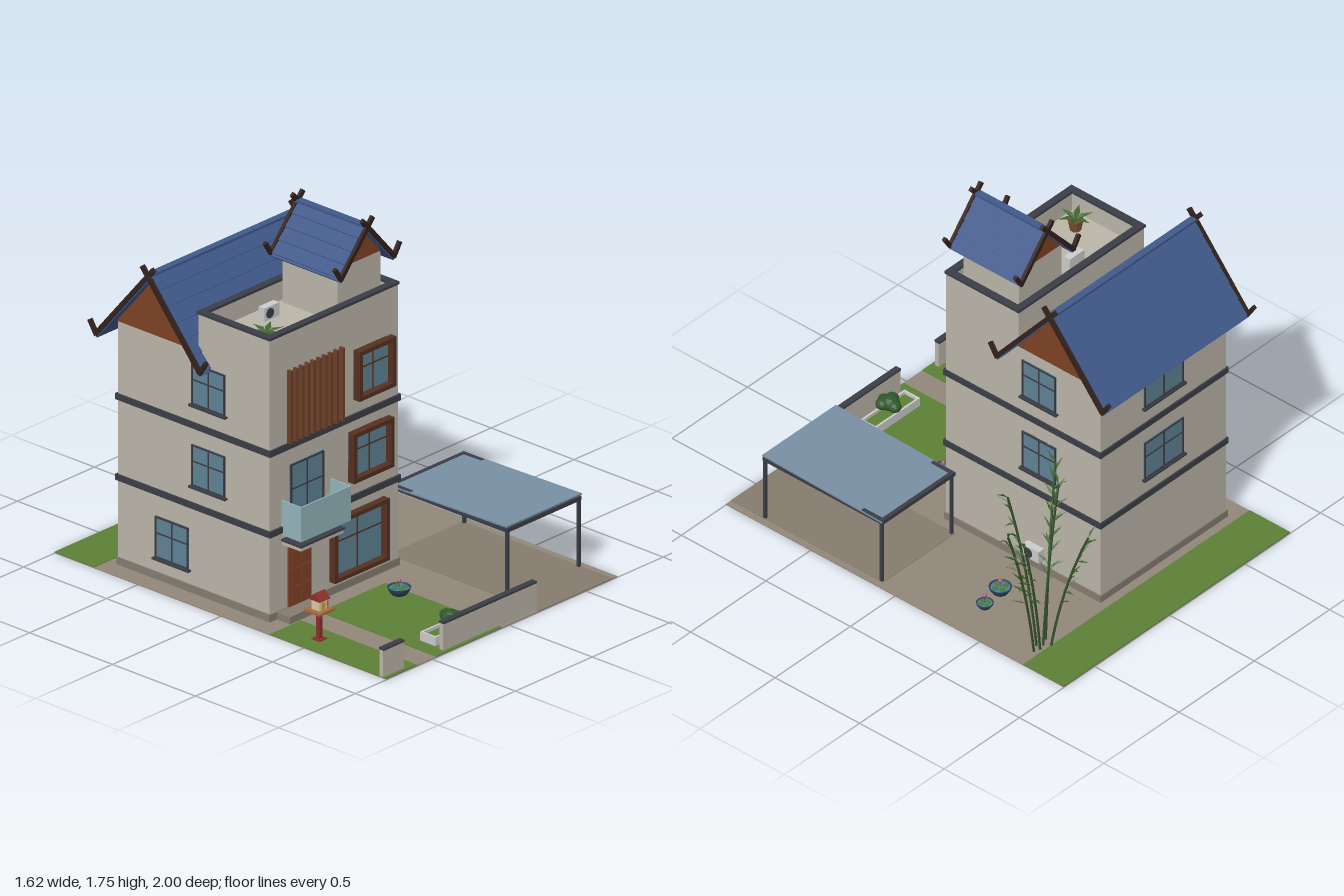
import * as THREE from 'three';

const C = { wall: 0xbab5a8, plinth: 0x857c70, dark: 0x3b3e46, wood: 0x55301f, brick: 0x7d4124, board: 0x33211b,
  glass: 0x5f8296, pale: 0x93b3ba, roof: 0x40598a, grass: 0x5d8036, paving: 0x91877a, red: 0x8c2f2a, leaf: 0x3d6630 };
const mats = {};
const mat = (color) => (mats[color] ??= new THREE.MeshStandardMaterial({ color, flatShading: true, side: THREE.DoubleSide }));

function add(parent, name, geo, color, x = 0, y = 0, z = 0) {
  const m = new THREE.Mesh(geo, mat(color));
  m.name = name;
  m.position.set(x, y, z);
  parent.add(m);
  return m;
}
// box given by its limits on each axis
function box(parent, name, x0, x1, y0, y1, z0, z1, color) {
  return add(parent, name, new THREE.BoxGeometry(x1 - x0, y1 - y0, z1 - z0), color, (x0 + x1) / 2, (y0 + y1) / 2, (z0 + z1) / 2);
}
function group(parent, name, x = 0, y = 0, z = 0, ry = 0) {
  const g = new THREE.Group();
  g.name = name;
  g.position.set(x, y, z);
  g.rotation.y = ry;
  parent.add(g);
  return g;
}
// bar between two points in the xy plane
function bar(parent, name, x0, y0, x1, y1, z, thick, depth, color) {
  const m = add(parent, name, new THREE.BoxGeometry(Math.hypot(x1 - x0, y1 - y0), thick, depth), color, (x0 + x1) / 2, (y0 + y1) / 2, z);
  m.rotation.z = Math.atan2(y1 - y0, x1 - x0);
}
function extrude(points, depth) {
  const g = new THREE.ExtrudeGeometry(new THREE.Shape(points.map((p) => new THREE.Vector2(...p))), { depth, bevelEnabled: false });
  return g.translate(0, 0, -depth / 2);
}

// window centred on its own origin, facing +z
function windowUnit(parent, name, x, y, z, ry, w, h, t, depth, color, sill) {
  const g = group(parent, name, x, y, z, ry), W = w / 2, H = h / 2;
  box(g, 'pane', -W, W, -H, H, -0.01, 0.004, C.glass);
  for (const s of [-1, 1]) {
    add(g, 'jamb', new THREE.BoxGeometry(t, h, depth), color, s * (W - t / 2), 0, depth / 2);
    add(g, 'rail', new THREE.BoxGeometry(w, t, depth), color, 0, s * (H - t / 2), depth / 2);
  }
  box(g, 'mullion', -0.003, 0.003, -H, H, 0, 0.008, color);
  box(g, 'transom', -W, W, h * 0.1 - 0.003, h * 0.1 + 0.003, 0, 0.008, color);
  if (sill) box(g, 'sill', -W - 0.01, W + 0.01, -H - 0.01, -H, 0, 0.018, C.dark);
}

// gabled roof with its ridge along local z and the apex at the origin
function gableRoof(parent, name, x, y, z, ry, run, rise, length, rows, gableHalf, gableInset) {
  const g = group(parent, name, x, y, z, ry), k = rise / run, L = length / 2;
  for (const s of [-1, 1]) {
    bar(g, 'roofSlope', 0, -0.012, s * run, -rise - 0.012, 0, 0.016, length, C.roof);
    for (let i = 0; i < rows; i++) { // overlapping tile courses
      const a = (run * i) / rows, b = (run * (i + 1)) / rows;
      bar(g, 'tileCourse', s * a, -a * k - 0.004, s * b, -b * k + 0.004, 0, 0.008, length, C.roof);
    }
    for (const e of [-1, 1]) {
      bar(g, 'bargeBoard', -s * 0.035, 0.035 * k, s * run, -rise, e * L, 0.022, 0.016, C.board);
      bar(g, 'eaveFinial', s * (run - 0.006), -rise - 0.004, s * (run + 0.036), -rise + 0.062, e * L, 0.018, 0.018, C.board);
    }
  }
  add(g, 'ridgeCap', new THREE.BoxGeometry(0.035, 0.012, length), C.roof, 0, 0.004, 0);
  for (const e of [-1, 1]) {
    add(g, 'gablePanel', extrude([[-gableHalf, -gableHalf * k - 0.02], [gableHalf, -gableHalf * k - 0.02], [0, -0.02]], 0.02), C.brick, 0, 0, e * (L - gableInset));
  }
}

// folded leaf, base at the origin, pointing along +z
function leafGeometry(len, wid) {
  const g = new THREE.BufferGeometry();
  g.setAttribute('position', new THREE.Float32BufferAttribute([0, 0, 0, wid, 0.004, len * 0.4, 0, -0.004, len * 0.5, -wid, 0.004, len * 0.4, 0, -0.01, len], 3));
  g.setIndex([0, 2, 1, 0, 3, 2, 1, 2, 4, 3, 4, 2]);
  g.computeVertexNormals();
  return g;
}

function lotusBowl(parent, x, z, r) {
  const g = group(parent, 'lotusBowl', x, 0.005, z);
  const pts = [[0, 0], [0.6, 0], [0.9, 0.4], [1, 0.68], [0.9, 0.68], [0.8, 0.5], [0, 0.5]].map(([a, b]) => new THREE.Vector2(a * r, b * r));
  add(g, 'bowl', new THREE.LatheGeometry(pts, 16), 0x2f4460);
  add(g, 'water', new THREE.CylinderGeometry(r * 0.85, r * 0.85, 0.002, 16), 0x4c7f92, 0, r * 0.56, 0);
  for (let i = 0; i < 4; i++) {
    const a = i * 1.57 + 0.4;
    add(g, 'lilyPad', new THREE.CylinderGeometry(r * 0.27, r * 0.27, 0.003, 8), 0x4a7a3a, Math.cos(a) * r * 0.48, r * 0.62, Math.sin(a) * r * 0.48);
  }
  add(g, 'stalk', new THREE.CylinderGeometry(0.002, 0.002, 0.04, 5), C.leaf, 0, 0.045, 0);
  add(g, 'flower', new THREE.SphereGeometry(0.011, 6, 5), 0xb0607c, 0, 0.066, 0);
}

export function createModel() {
  const root = new THREE.Group();
  root.name = 'townHouse';

  // plot
  box(root, 'ground', -0.8, 0.705, 0, 0.004, -1, 1, C.paving);
  box(root, 'backLawn', -0.8, 0.705, 0.004, 0.007, -1, -0.76, C.grass);
  box(root, 'sideLawn', -0.8, -0.6, 0.004, 0.007, 0.3, 1, C.grass);
  box(root, 'frontLawn', -0.475, -0.05, 0.004, 0.007, 0.3, 1, C.grass);
  box(root, 'driveway', 0.19, 0.67, 0.004, 0.006, 0.1, 1, 0x857b6e);
  for (const [a, b] of [[-0.8, -0.665], [-0.41, 0.195]]) {
    box(root, 'fenceWall', a, b, 0, 0.135, 0.96, 0.982, C.wall);
    box(root, 'fenceCap', a, b, 0.135, 0.145, 0.956, 0.986, C.dark);
  }

  // walls
  const house = group(root, 'house');
  const rear = add(house, 'rearWing', extrude([[-0.245, 0], [0.245, 0], [0.245, 1.175], [0, 1.46], [-0.245, 1.175]], 0.835), C.wall, -0.2825, 0, -0.465);
  rear.rotation.y = Math.PI / 2;
  box(house, 'frontWing', -0.7, 0.135, 0, 1.27, -0.225, 0.205, C.wall);
  box(house, 'plinth', -0.706, 0.141, 0, 0.04, -0.716, 0.211, C.plinth);
  for (const y of [0.412, 0.803]) box(house, 'beltCourse', -0.708, 0.143, y, y + 0.03, -0.718, 0.215, C.dark);
  const parapet = [[-0.7, 0.135, 0.18, 0.205], [-0.7, 0.135, -0.225, -0.2], [-0.7, -0.675, -0.2, 0.18], [0.11, 0.135, -0.2, 0.18]];
  for (const [a, b, c, d] of parapet) {
    box(house, 'parapet', a, b, 1.26, 1.367, c, d, C.wall);
    box(house, 'parapetCap', a - 0.005, b + 0.005, 1.365, 1.378, c - 0.005, d + 0.005, C.dark);
  }
  box(house, 'stairTower', -0.2, 0.08, 1.26, 1.545, -0.18, 0.15, C.wall);

  // roofs
  gableRoof(house, 'mainRoof', -0.285, 1.495, -0.465, Math.PI / 2, 0.315, 0.375, 0.965, 6, 0.235, 0.055);
  gableRoof(house, 'towerRoof', -0.06, 1.705, -0.01, 0, 0.175, 0.2, 0.42, 4, 0.125, 0.04);

  // windows
  windowUnit(house, 'frontWindowLow', -0.137, 0.22, 0.205, 0, 0.355, 0.3, 0.02, 0.038, C.wood);
  windowUnit(house, 'frontWindowMid', -0.06, 0.633, 0.205, 0, 0.262, 0.24, 0.02, 0.038, C.wood);
  windowUnit(house, 'frontWindowTop', -0.035, 1.02, 0.205, 0, 0.24, 0.24, 0.02, 0.038, C.wood);
  windowUnit(house, 'balconyDoor', -0.463, 0.572, 0.205, 0, 0.215, 0.305, 0.008, 0.01, C.dark);
  for (const y of [0.625, 1.02]) {
    windowUnit(house, 'leftWindow', 0.135, y, -0.35, Math.PI / 2, 0.2, 0.2, 0.007, 0.01, C.dark, true);
    windowUnit(house, 'rightWindow', -0.7, y, -0.16, -Math.PI / 2, 0.2, 0.2, 0.007, 0.01, C.dark, true);
    windowUnit(house, 'backWindow', -0.28, y, -0.71, Math.PI, 0.26, 0.2, 0.007, 0.01, C.dark, true);
  }
  windowUnit(house, 'rightWindowLow', -0.7, 0.21, -0.38, -Math.PI / 2, 0.2, 0.2, 0.007, 0.01, C.dark, true);

  // entrance, balcony and sun fins
  box(house, 'step', -0.66, -0.41, 0, 0.038, 0.205, 0.29, C.plinth);
  box(house, 'door', -0.585, -0.438, 0.038, 0.325, 0.2, 0.215, C.brick);
  for (let i = 0; i < 2; i++) for (let j = 0; j < 3; j++) {
    box(house, 'doorPanel', -0.573 + i * 0.066, -0.516 + i * 0.066, 0.055 + j * 0.088, 0.13 + j * 0.088, 0.21, 0.219, C.brick);
  }
  box(house, 'canopy', -0.62, -0.345, 0.352, 0.372, 0.2, 0.32, C.wall);
  box(house, 'canopyCap', -0.625, -0.34, 0.37, 0.38, 0.2, 0.325, C.dark);
  box(house, 'balconyFloor', -0.622, -0.302, 0.4, 0.415, 0.2, 0.322, C.wall);
  box(house, 'balconyGlassFront', -0.624, -0.3, 0.4, 0.568, 0.318, 0.325, C.pale);
  for (const x of [-0.624, -0.307]) box(house, 'balconyGlassSide', x, x + 0.007, 0.4, 0.568, 0.205, 0.32, C.pale);
  for (let i = 0; i < 10; i++) box(house, 'sunFin', -0.587 + i * 0.0375, -0.574 + i * 0.0375, 0.833, 1.187, 0.2, 0.228, 0x6b4029);

  // air conditioners
  for (const [x, y, z, ry] of [[0.155, 0.1, -0.33, Math.PI / 2], [-0.375, 1.31, -0.1, 0]]) {
    const ac = group(root, 'airConditioner', x, y, z, ry);
    box(ac, 'casing', -0.048, 0.048, -0.032, 0.032, -0.018, 0.018, 0xcccccc);
    add(ac, 'fan', new THREE.CylinderGeometry(0.024, 0.024, 0.004, 16).rotateX(Math.PI / 2), C.dark, -0.014, 0, 0.019);
  }

  // potted plant on the terrace
  const plant = group(root, 'terracePlant', -0.58, 1.27, 0.075);
  add(plant, 'pot', new THREE.CylinderGeometry(0.036, 0.026, 0.055, 10), 0x7a4f30, 0, 0.028, 0);
  for (let i = 0; i < 6; i++) {
    const l = add(plant, 'frond', leafGeometry(0.085, 0.015), C.leaf, 0, 0.055, 0);
    l.rotation.set(-0.35, i * 1.047, 0, 'YXZ');
  }

  // carport
  const port = group(root, 'carport');
  for (const x of [0.194, 0.656]) {
    for (const z of [0.106, 0.796]) box(port, 'post', x, x + 0.014, 0, 0.335, z, z + 0.014, C.dark);
    box(port, 'sideBeam', x - 0.004, x + 0.018, 0.325, 0.345, 0.1, 0.81, C.dark);
  }
  for (const z of [0.1, 0.79]) box(port, 'crossBeam', 0.19, 0.674, 0.325, 0.345, z, z + 0.02, C.dark);
  const sheet = box(port, 'roofSheet', 0.187, 0.677, 0.343, 0.35, 0.1, 0.81, 0x788fa3);
  sheet.rotation.x = -0.022;

  // planter with a clipped bush
  const planter = group(root, 'planter', -0.252, 0, 0.88);
  box(planter, 'soil', -0.14, 0.14, 0, 0.035, -0.04, 0.04, C.grass);
  for (const s of [-1, 1]) {
    add(planter, 'longSide', new THREE.BoxGeometry(0.295, 0.05, 0.01), 0xcccccc, 0, 0.025, s * 0.041);
    add(planter, 'shortSide', new THREE.BoxGeometry(0.01, 0.05, 0.09), 0xcccccc, s * 0.1425, 0.025, 0);
  }
  for (const [x, z, r] of [[0, 0, 0.045], [0.03, 0.02, 0.032], [-0.03, 0.015, 0.032], [0.01, -0.035, 0.032], [0, 0.035, 0.03]]) {
    add(planter, 'bush', new THREE.IcosahedronGeometry(r, 1), 0x2f5a2a, x, 0.085, z).scale.y = 0.85;
  }

  // small shrine on a post
  const shrine = group(root, 'shrine', -0.69, 0, 0.495);
  box(shrine, 'foot', -0.025, 0.025, 0, 0.012, -0.025, 0.025, C.red);
  box(shrine, 'post', -0.01, 0.01, 0, 0.145, -0.01, 0.01, C.red);
  box(shrine, 'platform', -0.047, 0.047, 0.143, 0.153, -0.047, 0.047, 0xa8663a);
  box(shrine, 'cabin', -0.024, 0.024, 0.153, 0.205, -0.024, 0.024, 0xd8c9a0);
  box(shrine, 'opening', -0.01, 0.01, 0.156, 0.19, 0.02, 0.026, 0xd0a030);
  const cap = add(shrine, 'shrineRoof', extrude([[-0.036, 0], [0.036, 0], [0, 0.034]], 0.07), C.red, 0, 0.203, 0);
  cap.rotation.y = Math.PI / 2;

  // lotus bowls
  for (const [x, z, r] of [[0.38, -0.335, 0.053], [0.505, -0.355, 0.04], [-0.095, 0.425, 0.054]]) lotusBowl(root, x, z, r);

  // bamboo clump: base x, z then tip x, y, z
  const bamboo = group(root, 'bamboo');
  const stems = [[0.5, -0.71, 0.3, 0.81, -0.59], [0.56, -0.71, 0.64, 0.82, -0.61], [0.6, -0.73, 0.77, 0.73, -0.73],
    [0.52, -0.76, 0.43, 0.62, -0.9], [0.54, -0.73, 0.37, 0.77, -0.67], [0.57, -0.74, 0.69, 0.66, -0.75]];
  const leaf = leafGeometry(0.075, 0.007);
  stems.forEach(([x, z, tx, ty, tz], n) => {
    const path = new THREE.QuadraticBezierCurve3(new THREE.Vector3(x, 0, z), new THREE.Vector3(x + (tx - x) * 0.3, ty * 0.55, z + (tz - z) * 0.3), new THREE.Vector3(tx, ty, tz));
    add(bamboo, 'stem', new THREE.TubeGeometry(path, 10, 0.006, 5), 0x36502c);
    const out = Math.atan2(tx - x, tz - z);
    for (let i = 0; i < 14; i++) {
      const p = path.getPoint(0.38 + (0.62 * i) / 13);
      const l = add(bamboo, 'leaf', leaf, i % 3 ? C.leaf : 0x55763a, p.x, p.y, p.z);
      l.rotation.set(-0.75 + 0.35 * Math.sin(i * 2.1 + n), out + (i % 2 ? 0.75 : -0.75) + 0.3 * Math.sin(i * 1.7), 0, 'YXZ');
    }
  });
  return root;
}
